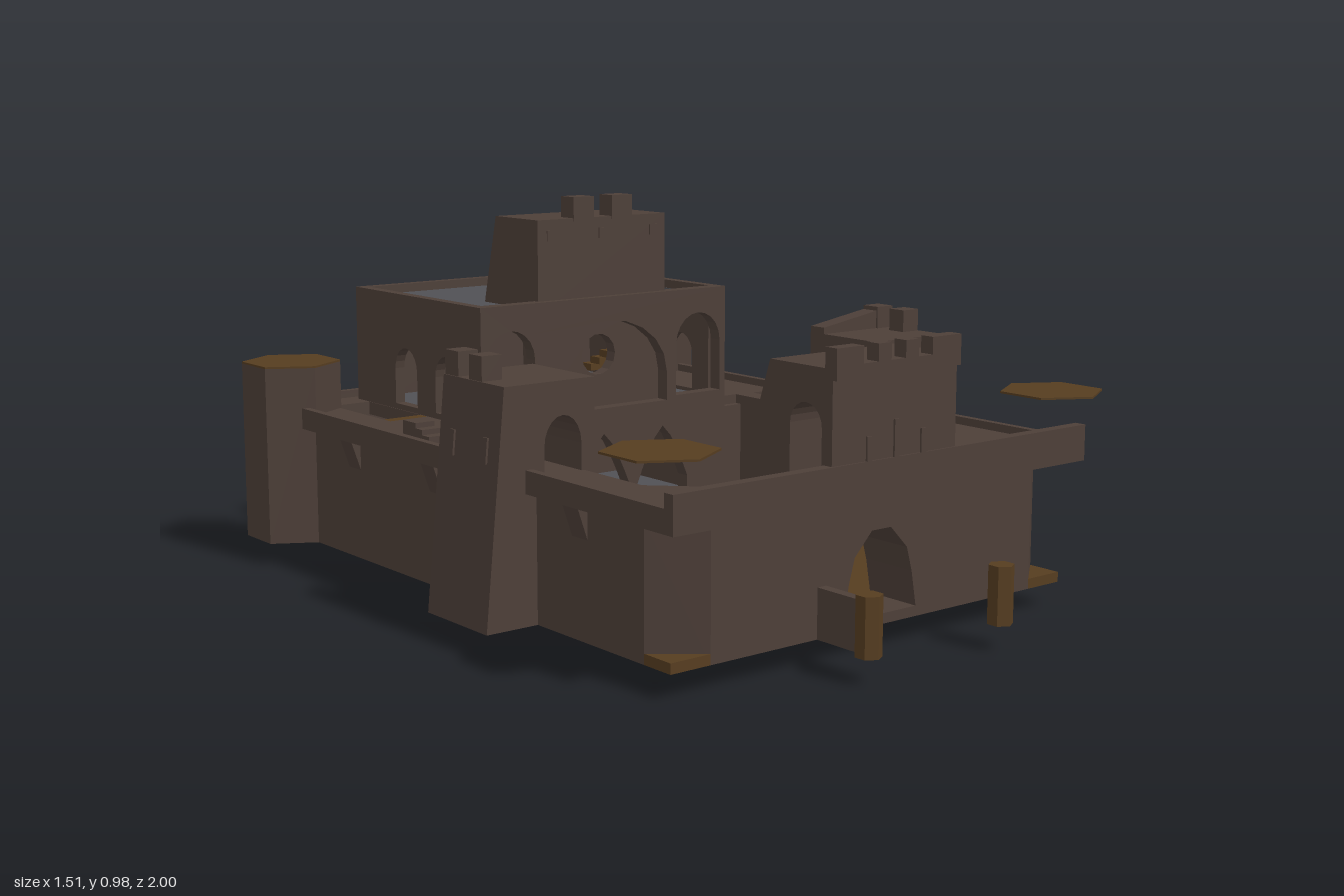
import * as THREE from 'three';

const flat = (name, color) => {
  const m = new THREE.MeshStandardMaterial({ color, flatShading: true });
  m.name = name;
  return m;
};

export function createModel() {
  const root = new THREE.Group();
  root.name = 'fortress';
  const stone = flat('brown stone', 0x4d3f38);
  const wood = flat('brown timber', 0x563d20);
  const slate = flat('grey slate', 0x505055);

  const add = (name, geo, mat = stone) => {
    const mesh = new THREE.Mesh(geo, mat);
    mesh.name = name;
    root.add(mesh);
    return mesh;
  };
  // Box given by its limits on each axis
  const box = (name, x0, x1, y0, y1, z0, z1, mat) =>
    add(name, new THREE.BoxGeometry(x1 - x0, y1 - y0, z1 - z0)
      .translate((x0 + x1) / 2, (y0 + y1) / 2, (z0 + z1) / 2), mat);

  const poly = (pts) => pts.map(([a, b]) => new THREE.Vector2(a, b));
  const rect = (a0, a1, b0, b1) => [[a0, b0], [a1, b0], [a1, b1], [a0, b1]];
  // Outline of an arch; peak > 1 makes it pointed
  const arch = (c, half, y0, spring, top, pointed = false) => {
    const pts = [[c - half, y0]];
    for (let i = 0; i <= 10; i++) {
      const t = Math.PI * (1 - i / 10);
      const s = pointed ? 1 - Math.abs(Math.cos(t)) ** 1.4 : Math.sin(t);
      pts.push([c + half * Math.cos(t), spring + (top - spring) * s]);
    }
    pts.push([c + half, y0]);
    return pts;
  };
  const extrude = (pts, holes, depth) => {
    const s = new THREE.Shape(poly(pts));
    holes.forEach((h) => s.holes.push(new THREE.Path(poly(h))));
    return new THREE.ExtrudeGeometry(s, { depth, bevelEnabled: false });
  };
  // Walls facing z, walls facing x, and floor plans
  const wallZ = (name, pts, holes, z0, z1, mat) =>
    add(name, extrude(pts, holes, z1 - z0).translate(0, 0, z0), mat);
  const wallX = (name, pts, holes, x0, x1, mat) =>
    add(name, extrude(pts, holes, x1 - x0).rotateY(-Math.PI / 2).translate(x1, 0, 0), mat);
  const plan = (name, pts, holes, y0, y1, mat) =>
    add(name, extrude(pts, holes, y1 - y0).rotateX(Math.PI / 2).translate(0, y1, 0), mat);

  // Courtyard floor with two openings
  const court = [[-0.48, -0.27], [0.48, -0.27], [0.48, 0.53], [0.36, 0.65], [-0.36, 0.65], [-0.48, 0.53]];
  plan('courtyardFloor', court,
    [rect(-0.335, -0.165, 0.06, 0.315), rect(0.165, 0.335, 0.06, 0.315)], 0.06, 0.085, wood);
  box('hallBase', -0.51, 0.51, 0.06, 0.085, -0.89, -0.27);
  box('hallFloor', -0.51, 0.51, 0.085, 0.09, -0.86, -0.29, slate);

  // Curtain walls: sides, front and back
  for (const s of [-1, 1]) {
    const side = [[0.51, -0.89], [0.615, -0.89], [0.615, 0.71], [0.505, 0.8], [0.36, 0.8],
      [0.36, 0.65], [0.48, 0.53], [0.48, -0.27], [0.51, -0.27]].map(([x, z]) => [s * x, z]);
    plan('sideWall', side, s > 0 ? [rect(0.535, 0.6, -0.26, -0.14)] : [], 0.06, 0.38);
    // Exposed plinth corner of the front turrets
    plan('cornerFloor', [[s * 0.615, 0.71], [s * 0.615, 0.8], [s * 0.505, 0.8]], [], 0.06, 0.085, wood);
    // Corbels under the walkway
    for (const z of [0.48, -0.11, -0.5]) {
      const shape = [[s * 0.6, 0.375], [s * 0.643, 0.375], [s * 0.615, 0.295], [s * 0.6, 0.295]];
      wallZ('corbel', shape, [], z - 0.029, z + 0.029);
    }
  }
  const gate = [[-0.115, 0.085], [-0.1, 0.17], [-0.083, 0.23], [-0.03, 0.285],
    [0.03, 0.285], [0.083, 0.23], [0.1, 0.17], [0.115, 0.085]];
  wallZ('frontWall', rect(-0.36, 0.36, 0.06, 0.38), [gate], 0.65, 0.8);
  wallZ('backWall', rect(-0.51, 0.51, 0.06, 0.38), [gate], -0.89, -0.85);

  // Walkway with raised rim, stairwell and trap opening
  const outer = rect(-0.645, 0.645, -0.92, 0.845);
  plan('walkway', outer, [court, rect(0.535, 0.615, -0.26, -0.14),
    rect(-0.505, -0.392, -0.805, -0.505)], 0.37, 0.405);
  plan('walkwayRim', outer, [rect(-0.625, 0.625, -0.9, 0.815)], 0.375, 0.425);
  box('frontParapet', -0.645, 0.645, 0.42, 0.459, 0.815, 0.845);
  for (let i = 0; i < 3; i++) box('walkwayStep', -0.615, -0.56, 0.4, 0.43 + i * 0.013, -0.26, -0.14 - i * 0.03);

  // Rear corner turrets, and the separate lids of the front ones
  for (const s of [-1, 1]) {
    add('rearTurret', new THREE.CylinderGeometry(0.13, 0.13, 0.472, 6)
      .translate(s * 0.613, 0.296, -0.833));
    for (const z of [-0.833, 0.762]) {
      add('turretLid', new THREE.CylinderGeometry(0.13, 0.13, 0.005, 6)
        .translate(s * 0.613, 0.5345, z), wood);
    }
  }

  // Side towers with leaning outer face and an arched passage
  for (const s of [-1, 1]) {
    const passage = arch(0.54, 0.052, 0.4, 0.47, 0.54).reverse();
    const pts = [[0.755, 0.06], [0.7, 0.62], [0.45, 0.62], [0.45, 0.4],
      ...passage.slice().reverse(), [0.61, 0.4], [0.61, 0.06]].map(([x, y]) => [s * x, y]);
    wallZ('sideTower', pts, [], 0.068, 0.315);
    for (const [z0, z1] of [[0.17, 0.222], [0.07, 0.125]]) {
      const [a, b] = [s * 0.642, s * 0.697].sort((p, q) => p - q);
      box('towerMerlon', a, b, 0.61, 0.678, z0, z1);
    }
    for (const z of [0.126, 0.262]) {
      const slit = add('towerSlit', new THREE.BoxGeometry(0.008, 0.06, 0.016), stone);
      slit.position.set(s * 0.716, 0.47, z);
      slit.rotation.z = s * 0.098;
    }
  }
  wallZ('slopedTowerParapet', [[0.45, 0.61], [0.697, 0.61], [0.697, 0.676], [0.45, 0.637]], [], 0.07, 0.12);

  // Gatehouse over the front wall
  const passage = arch(0.755, 0.052, 0.4, 0.54, 0.592);
  wallX('gatehouse', [[0.55, 0.4], ...passage, [0.84, 0.4], [0.84, 0.675], [0.635, 0.675], [0.55, 0.43]],
    [], -0.196, 0.192);
  box('gatehouseCornice', -0.196, 0.192, 0.65, 0.682, 0.815, 0.852);
  for (const [a, b] of [[-0.196, -0.115], [-0.07, -0.03], [0.015, 0.055], [0.1, 0.192]]) {
    box('gatehouseMerlon', a, b, 0.675, 0.722, 0.815, 0.852);
  }
  for (const [x, h] of [[-0.085, 0.06], [0, 0.09], [0.085, 0.06]]) {
    box('gatehouseSlit', x - 0.008, x + 0.008, 0.455, 0.455 + h, 0.838, 0.845);
  }

  // Great hall: arcade towards the courtyard and windows above
  wallZ('arcade', rect(-0.51, 0.51, 0.085, 0.38),
    [-0.2, 0, 0.2].map((x) => arch(x, 0.087, 0.086, 0.2, 0.35, true)), -0.29, -0.25);
  wallZ('keepFront', rect(-0.39, 0.418, 0.38, 0.718), [
    arch(-0.3, 0.077, 0.43, 0.57, 0.652), arch(0.322, 0.077, 0.43, 0.57, 0.652),
    arch(0.012, 0.2, 0.42, 0.5, 0.655)], -0.285, -0.247);
  const round = [];
  for (let i = 0; i < 14; i++) {
    round.push([0.01 + 0.055 * Math.cos(i * Math.PI / 7), 0.56 + 0.055 * Math.sin(i * Math.PI / 7)]);
  }
  wallZ('recessWall', rect(-0.21, 0.235, 0.4, 0.7), [round], -0.32, -0.286);
  for (const [x0, x1] of [[-0.39, -0.362], [0.39, 0.418]]) {
    wallX('keepSide', rect(-0.866, -0.285, 0.38, 0.718),
      [-0.41, -0.61].map((z) => arch(z, 0.055, 0.42, 0.515, 0.575)), x0, x1);
  }
  box('keepBack', -0.362, 0.39, 0.38, 0.718, -0.866, -0.84);
  box('keepFloor', -0.362, 0.39, 0.404, 0.41, -0.84, -0.285, slate);
  plan('keepRoof', rect(-0.362, 0.39, -0.84, -0.285),
    [rect(0.32, 0.388, -0.78, -0.3)], 0.68, 0.695, slate);

  // Timber stairs in the keep and beside it
  for (let i = 0; i < 11; i++) {
    const z = -0.31 - i * 0.043, y = 0.69 - i * 0.024;
    box('roofStair', 0.32, 0.389, y - 0.02, y, z - 0.044, z, wood);
  }
  box('stairLanding', 0.25, 0.32, 0.69, 0.699, -0.37, -0.31, wood);
  for (let i = 0; i < 9; i++) {
    const z = -0.505 - i * 0.0333, y = 0.405 - i * 0.035;
    box('hallStair', -0.505, -0.392, y - 0.03, y, z - 0.034, z, wood);
  }

  // Upper tower with sloped back
  wallX('upperTower', [[-0.268, 0.68], [-0.268, 0.928], [-0.46, 0.928], [-0.52, 0.68]], [], -0.197, 0.221);
  for (const x of [-0.05, 0.075]) box('upperMerlon', x - 0.033, x + 0.033, 0.92, 0.983, -0.322, -0.266);
  for (const x of [-0.155, 0.012, 0.18]) {
    box('upperWindow', x - 0.013, x + 0.013, 0.872, 0.9, -0.27, -0.264);
  }
  wallZ('rearDoorFrame', arch(0.012, 0.083, 0.69, 0.79, 0.835),
    [arch(0.012, 0.06, 0.692, 0.77, 0.812)], -0.53, -0.485);
  wallZ('rearDoor', arch(0.012, 0.06, 0.692, 0.77, 0.812), [], -0.523, -0.516, slate);

  // Low stub walls, bridge posts and rear supports
  for (const x of [-0.1, 0.095]) box('courtyardStub', x - 0.013, x + 0.013, 0.085, 0.17, -0.26, -0.14);
  box('approachWall', -0.196, -0.17, 0.06, 0.18, 0.79, 0.94);
  for (const x of [-0.197, 0.222]) {
    add('bridgePost', new THREE.CylinderGeometry(0.031, 0.031, 0.14, 6).translate(x, 0.13, 0.965), wood);
  }
  for (const x of [-0.128, 0.125]) {
    box('rearSupport', x - 0.013, x + 0.013, 0, 0.06, -1, -0.865);
    box('rearSupportTip', x - 0.013, x + 0.013, 0.05, 0.112, -1, -0.975);
  }
  return root;
}
